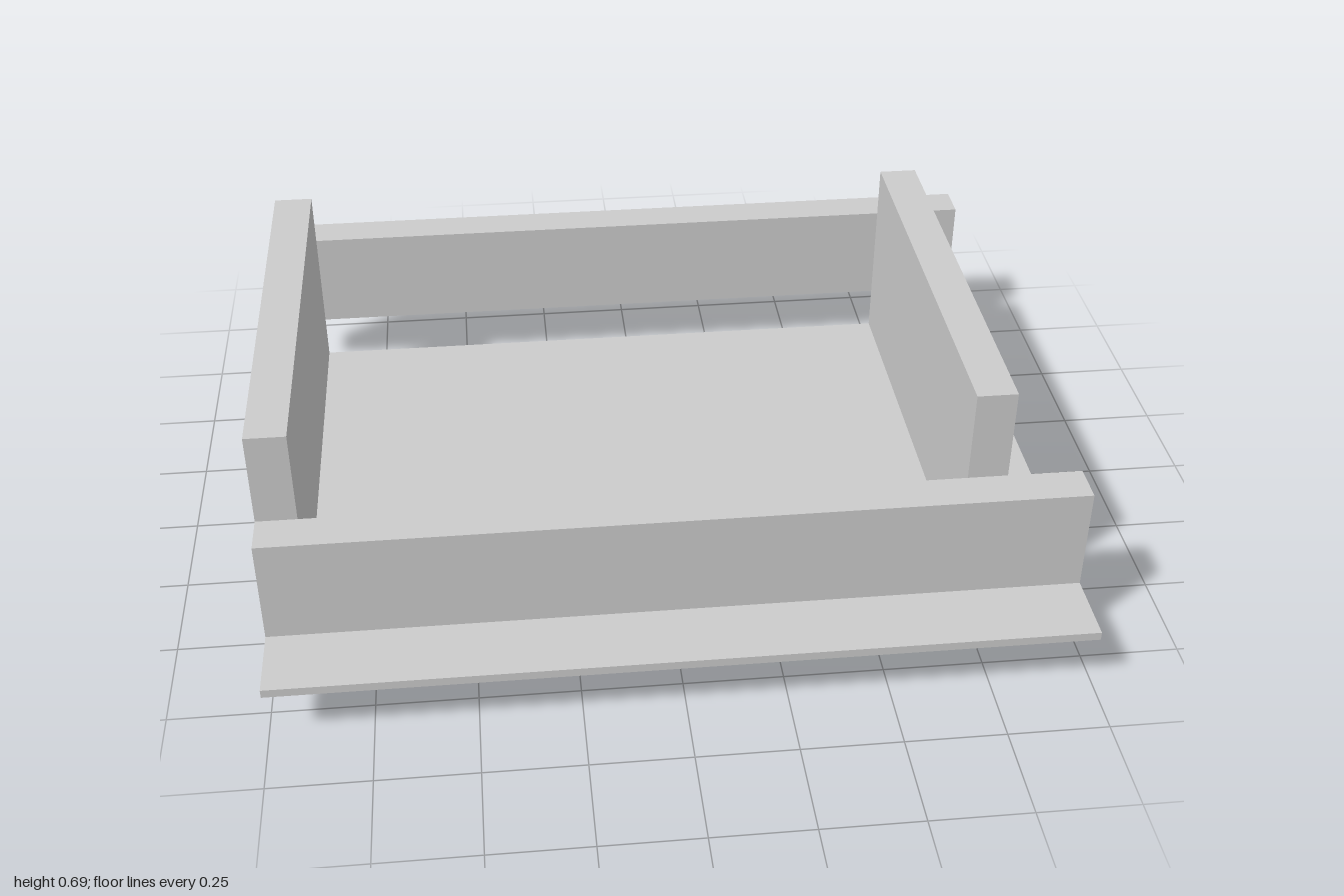
import * as THREE from 'three';

export function createModel() {
  const group = new THREE.Group();
  const material = new THREE.MeshStandardMaterial({ color: 0xcccccc, flatShading: true });

  // A board given by its minimum and maximum on each axis
  const board = (name, [x0, x1], [y0, y1], [z0, z1]) => {
    const mesh = new THREE.Mesh(new THREE.BoxGeometry(x1 - x0, y1 - y0, z1 - z0), material);
    mesh.position.set((x0 + x1) / 2, (y0 + y1) / 2, (z0 + z1) / 2);
    mesh.name = name;
    group.add(mesh);
  };

  const width = [-1, 1];
  const sideHeight = [0, 0.685];
  const sideDepth = [-0.571, 0.571];
  const railHeight = [0.172, 0.445];

  // Thin base sheet, reaching out in front of the front rail
  board('basePlate', width, [0.15, 0.172], [-0.571, 0.857]);

  // Upright side panels, which also stand as feet
  board('rightPanel', [-1, -0.9], sideHeight, sideDepth);
  board('leftPanel', [0.714, 0.814], sideHeight, sideDepth);

  // Long rails: one against the panels, one apart at the back
  board('frontRail', width, railHeight, [0.571, 0.671]);
  board('backRail', width, railHeight, [-0.857, -0.757]);

  return group;
}
